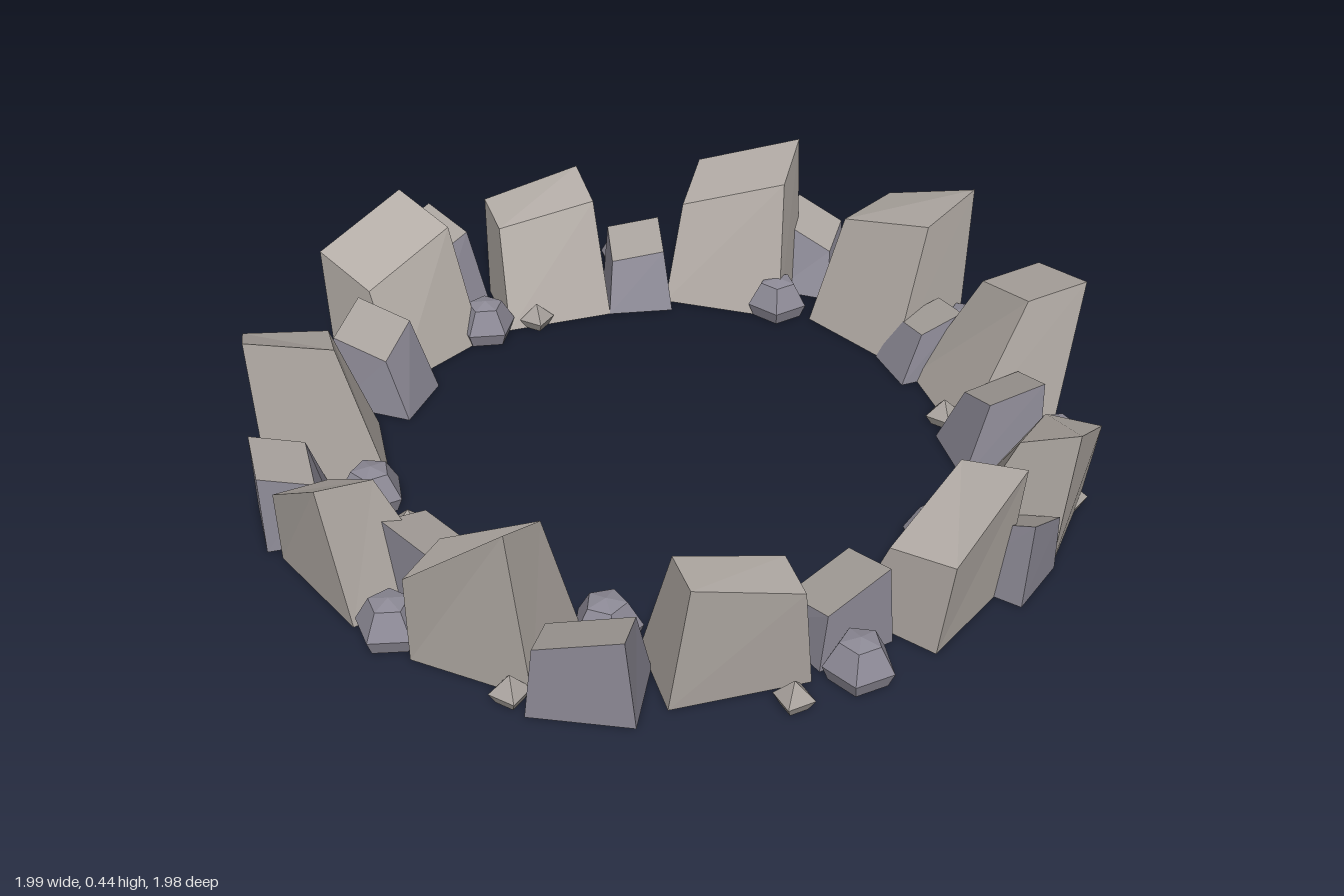
import * as THREE from 'three';

const material = (name, color) => {
  const m = new THREE.MeshStandardMaterial({ color });
  m.name = name;
  return m;
};

// Flat facets: every triangle gets its own normal
function faceted(geometry) {
  const g = geometry.index ? geometry.toNonIndexed() : geometry;
  g.computeVertexNormals();
  return g;
}

// Block with a sloped, leaning top. Local z points out of the ring, local x along it.
// heights run: inner start, inner end, outer end, outer start (counting along the ring angle)
function blockGeometry(width, depth, topWidth, topDepth, lean, heights) {
  const g = new THREE.BoxGeometry(1, 1, 1);
  const p = g.attributes.position;
  for (let i = 0; i < p.count; i++) {
    const sx = Math.sign(p.getX(i)), sz = Math.sign(p.getZ(i));
    if (p.getY(i) < 0) {
      p.setXYZ(i, sx * width / 2, 0, sz * depth / 2);
    } else {
      const corner = sz < 0 ? (sx > 0 ? 0 : 1) : (sx < 0 ? 2 : 3);
      p.setXYZ(i, sx * topWidth / 2, heights[corner], sz * topDepth / 2 + lean);
    }
  }
  return faceted(g);
}

// Puts a mesh at x, z with its local z turned towards the ring angle (degrees)
function place(parent, name, geometry, mat, x, z, angle) {
  const mesh = new THREE.Mesh(geometry, mat);
  mesh.name = name;
  mesh.position.set(x, 0, z);
  mesh.rotation.y = THREE.MathUtils.degToRad(90 - angle);
  parent.add(mesh);
}

// Stone turned from a profile with few sides
function turned(points, sides) {
  return faceted(new THREE.LatheGeometry(points.map(([r, y]) => new THREE.Vector2(r, y)), sides));
}

export function createModel() {
  const stone = material('warm stone', 0xb4ada7);
  const weathered = material('weathered stone', 0xa8a29d);
  const slate = material('slate', 0x8d8a96);

  const ring = new THREE.Group();
  ring.name = 'stoneRing';
  const addGroup = (name) => {
    const g = new THREE.Group();
    g.name = name;
    ring.add(g);
    return g;
  };

  // Large boulders
  const boulders = addGroup('boulders');
  const boulder = (x, z, angle, w, d, tw, td, lean, heights) =>
    place(boulders, 'boulder', blockGeometry(w, d, tw, td, lean, heights), stone, x, z, angle);
  boulder(0.815, 0.0, 0, 0.31, 0.25, 0.25, 0.15, 0.11, [0.27, 0.35, 0.38, 0.3]);
  boulder(0.68, 0.5, 39, 0.27, 0.23, 0.27, 0.13, 0.08, [0.22, 0.31, 0.36, 0.22]);
  boulder(0.37, 0.71, 54, 0.28, 0.22, 0.28, 0.16, 0.06, [0.29, 0.22, 0.24, 0.33]);
  boulder(-0.115, 0.785, 90, 0.31, 0.21, 0.24, 0.13, 0.08, [0.27, 0.32, 0.33, 0.27]);
  boulder(-0.56, 0.595, 131, 0.29, 0.23, 0.24, 0.15, 0.08, [0.37, 0.25, 0.25, 0.435]);
  boulder(-0.79, 0.26, 158, 0.31, 0.24, 0.2, 0.14, 0.08, [0.31, 0.2, 0.22, 0.34]);
  boulder(-0.81, -0.19, 183, 0.28, 0.28, 0.25, 0.2, 0.06, [0.385, 0.29, 0.31, 0.43]);
  boulder(-0.53, -0.66, 237, 0.29, 0.25, 0.28, 0.18, 0.06, [0.24, 0.31, 0.36, 0.29]);
  boulder(-0.12, -0.78, 268, 0.28, 0.22, 0.26, 0.16, 0.08, [0.25, 0.29, 0.32, 0.26]);
  boulder(0.38, -0.705, 303, 0.32, 0.22, 0.28, 0.16, 0.07, [0.25, 0.35, 0.41, 0.31]);
  boulder(0.71, -0.41, 335, 0.31, 0.25, 0.29, 0.17, 0.07, [0.27, 0.36, 0.41, 0.29]);

  // Mid-sized blocks filling the gaps: slate sides, weathered tops
  const blocks = addGroup('gapBlocks');
  const blockMaterials = [slate, slate, weathered, slate, slate, slate];
  const blockRows = [
    // x, z, angle, width, depth, height, rise along the ring
    [0.12, -0.75, 279, 0.17, 0.18, 0.16, 0.01],
    [0.6, -0.69, 306, 0.15, 0.16, 0.17, -0.03],
    [0.72, -0.2, 355, 0.15, 0.16, 0.14, 0.01],
    [0.73, 0.22, 3, 0.19, 0.19, 0.18, 0.03],
    [0.57, 0.67, 50, 0.17, 0.17, 0.16, 0.03],
    [0.13, 0.74, 75, 0.19, 0.21, 0.15, -0.03],
    [-0.41, 0.79, 115, 0.23, 0.19, 0.18, -0.02],
    [-0.64, 0.38, 148, 0.17, 0.18, 0.18, 0.01],
    [-0.9, 0.04, 180, 0.18, 0.18, 0.18, 0.01],
    [-0.62, -0.44, 216, 0.17, 0.2, 0.19, 0.02],
    [-0.43, -0.8, 236, 0.23, 0.2, 0.23, 0.02],
  ];
  for (const [x, z, angle, w, d, h, rise] of blockRows) {
    const heights = [h - 0.02 - rise, h - 0.02 + rise, h + 0.02 + rise, h + 0.02 - rise];
    const g = blockGeometry(w, d, w * 0.82, d * 0.7, 0.03, heights);
    place(blocks, 'gapBlock', g, blockMaterials, x, z, angle);
  }

  // Small five-sided slate stones
  const chunks = addGroup('slateChunks');
  const chunk = turned([[0, 0], [0.066, 0], [0.08, 0.035], [0.046, 0.095], [0, 0.105]], 5);
  const chunkSpots = [
    [0.14, -0.92], [0.88, -0.27], [0.88, 0.28], [0.47, 0.53], [0.14, 0.9], [-0.33, 0.63],
    [-0.77, 0.5], [-0.73, 0.01], [-0.76, -0.54], [-0.32, -0.66], [0.46, -0.56],
  ];
  chunkSpots.forEach(([x, z], i) => place(chunks, 'slateChunk', chunk, slate, x, z, i * 47));

  // Tiny pointed pebbles
  const pebbles = addGroup('pebbles');
  const pebble = turned([[0, 0], [0.03, 0], [0.046, 0.025], [0, 0.068]], 4);
  const pebbleSpots = [
    [-0.18, -0.67], [-0.9, -0.34], [-0.67, 0.15], [-0.57, 0.77], [-0.02, 0.95], [0.24, 0.63],
    [0.68, 0.07], [0.48, -0.85], [-0.64, -0.77], [0.82, 0.48], [0.91, -0.34],
  ];
  pebbleSpots.forEach(([x, z], i) => place(pebbles, 'pebble', pebble, weathered, x, z, i * 31));

  return ring;
}
